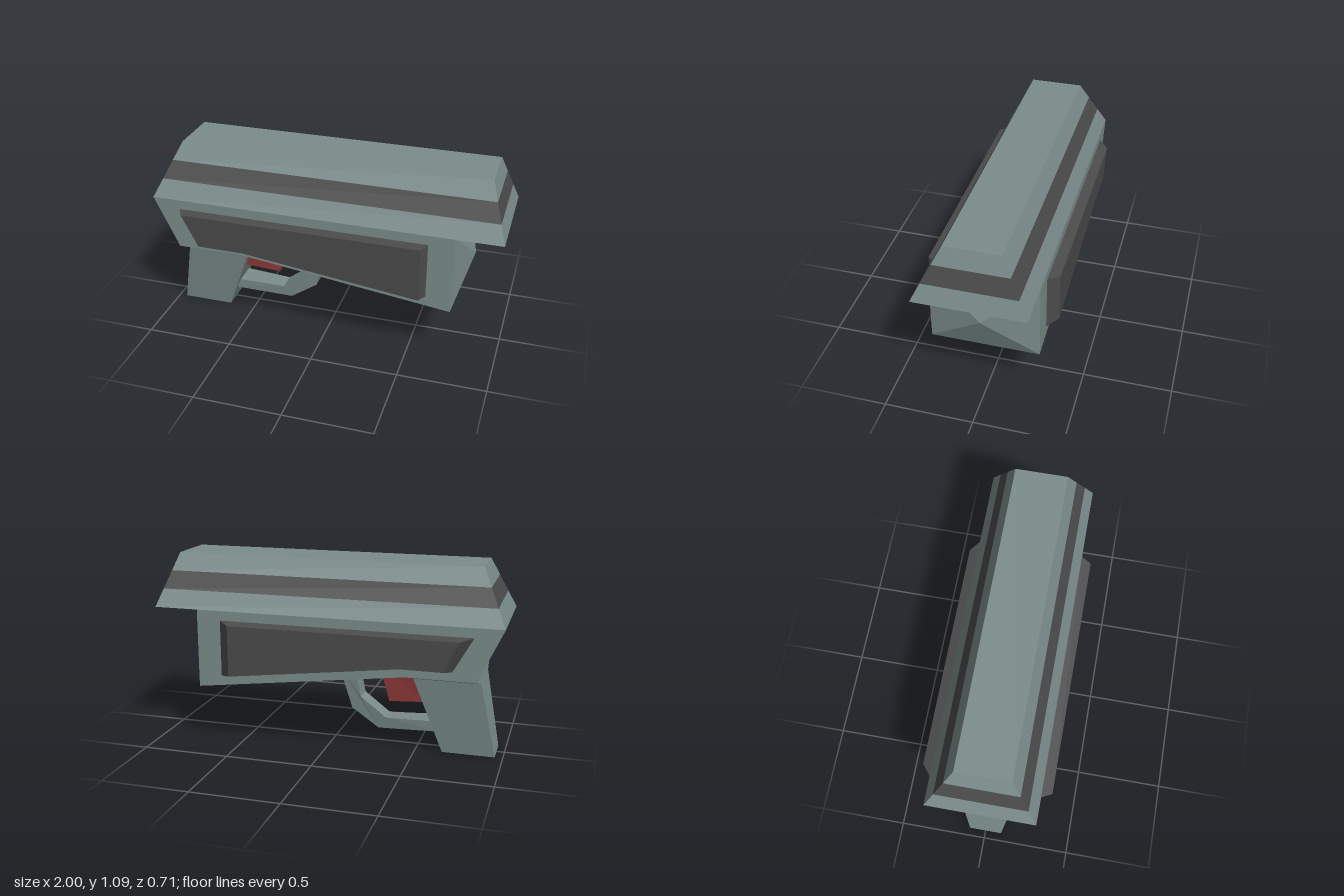
import * as THREE from 'three';

// Lofts closed rings of [x,y,z] points, flat faced. Rings run counter-clockwise
// seen from the end; axes are the two coordinates that span the ring plane.
function loft(rings, axes, capStart = true, capEnd = true) {
  const pos = [];
  const tri = (a, b, c) => pos.push(...a, ...b, ...c);
  for (let r = 0; r < rings.length - 1; r++) {
    const a = rings[r], b = rings[r + 1];
    for (let i = 0; i < a.length; i++) {
      const j = (i + 1) % a.length;
      tri(a[i], a[j], b[j]);
      tri(a[i], b[j], b[i]);
    }
  }
  const cap = (ring, flip) => {
    const flat = ring.map(p => new THREE.Vector2(p[axes[0]], p[axes[1]]));
    for (const [i, j, k] of THREE.ShapeUtils.triangulateShape(flat, [])) {
      if (flip) tri(ring[k], ring[j], ring[i]);
      else tri(ring[i], ring[j], ring[k]);
    }
  };
  if (capStart) cap(rings[0], true);
  if (capEnd) cap(rings[rings.length - 1], false);
  const g = new THREE.BufferGeometry();
  g.setAttribute('position', new THREE.Float32BufferAttribute(pos, 3));
  g.computeVertexNormals();
  return g;
}

// Horizontal rectangles stacked upward: [y, xMin, xMax, halfDepth]
function stack(levels, capStart, capEnd) {
  const rings = levels.map(([y, x0, x1, d]) => [[x0, y, d], [x1, y, d], [x1, y, -d], [x0, y, -d]]);
  return loft(rings, [2, 0], capStart, capEnd);
}

// Side profile of [x, y, halfDepth], mirrored about z = 0
function slab(points) {
  return loft([-1, 1].map(s => points.map(([x, y, w]) => [x, y, s * w])), [0, 1]);
}

export function createModel() {
  const model = new THREE.Group();
  model.name = 'toyBlaster';
  const material = (name, color) => {
    const m = new THREE.MeshStandardMaterial({ color });
    m.name = name;
    return m;
  };
  const casing = material('greyGreenCasing', 0x7b8d8b);
  const dark = material('darkGrey', 0x4c4b4b);
  const red = material('triggerRed', 0x913b3b);
  const add = (name, geometry, mat) => {
    const mesh = new THREE.Mesh(geometry, mat);
    mesh.name = name;
    model.add(mesh);
  };

  // Tapered upper shell in three bands, the middle one dark
  const shell = [
    [0.79, -1, 1, 0.3], [0.89, -0.953, 0.967, 0.25],
    [0.99, -0.907, 0.933, 0.2], [1.09, -0.86, 0.9, 0.15],
  ];
  ['lowerShell', 'shellStripe', 'upperShell'].forEach((name, i) => {
    add(name, stack([shell[i], shell[i + 1]], i === 0, i === 2), i === 1 ? dark : casing);
  });

  // Main body with sloping underside
  add('body', slab([
    [-0.47, 0.49, 0.3], [0.74, 0.335, 0.3], [0.74, 0.79, 0.3], [-1, 0.79, 0.3], [-0.86, 0.49, 0.3],
  ]), casing);

  // Pyramid muzzle
  const base = [[0.335, -0.3], [0.79, -0.3], [0.79, 0.3], [0.335, 0.3]];
  add('muzzle', loft([
    base.map(([y, z]) => [0.74, y, z]),
    base.map(() => [0.82, 0.56, 0]),
  ], [1, 2], false, false), casing);

  // Raised side panels with chamfered edges
  const outline = [[-0.45, 0.54], [0.6, 0.41], [0.6, 0.735], [-0.84, 0.735], [-0.73, 0.54]];
  const leftFace = [[-0.45, 0.54], [0.57, 0.414], [0.57, 0.727], [-0.81, 0.727], [-0.715, 0.54]];
  const rightFace = [[-0.45, 0.55], [0.535, 0.425], [0.535, 0.72], [-0.77, 0.72], [-0.69, 0.55]];
  const at = (points, z) => points.map(([x, y]) => [x, y, z]);
  add('frontPanel', loft([at(outline, 0.3), at(leftFace, 0.357)], [0, 1], false, true), dark);
  add('backPanel', loft([at(rightFace, -0.357), at(outline, -0.3)], [0, 1], true, false), dark);

  // Grip, flaring out to the body width at its top
  add('grip', stack([
    [0, -0.955, -0.655, 0.095], [0.44, -0.87, -0.49, 0.148], [0.49, -0.86, -0.47, 0.3],
  ], true, false), casing);

  // Trigger, narrower at the front
  add('trigger', slab([
    [-0.56, 0.28, 0.062], [-0.335, 0.265, 0.058], [-0.28, 0.475, 0.07], [-0.47, 0.5, 0.085],
  ]), red);

  // Trigger guard, bevelled toward its outer side
  add('triggerGuard', slab([
    [-0.63, 0.11, 0.068], [-0.27, 0.09, 0.042], [-0.11, 0.2, 0.042], [-0.035, 0.45, 0.058],
    [-0.125, 0.46, 0.066], [-0.165, 0.275, 0.054], [-0.315, 0.16, 0.054], [-0.61, 0.17, 0.07],
  ]), casing);

  return model;
}
